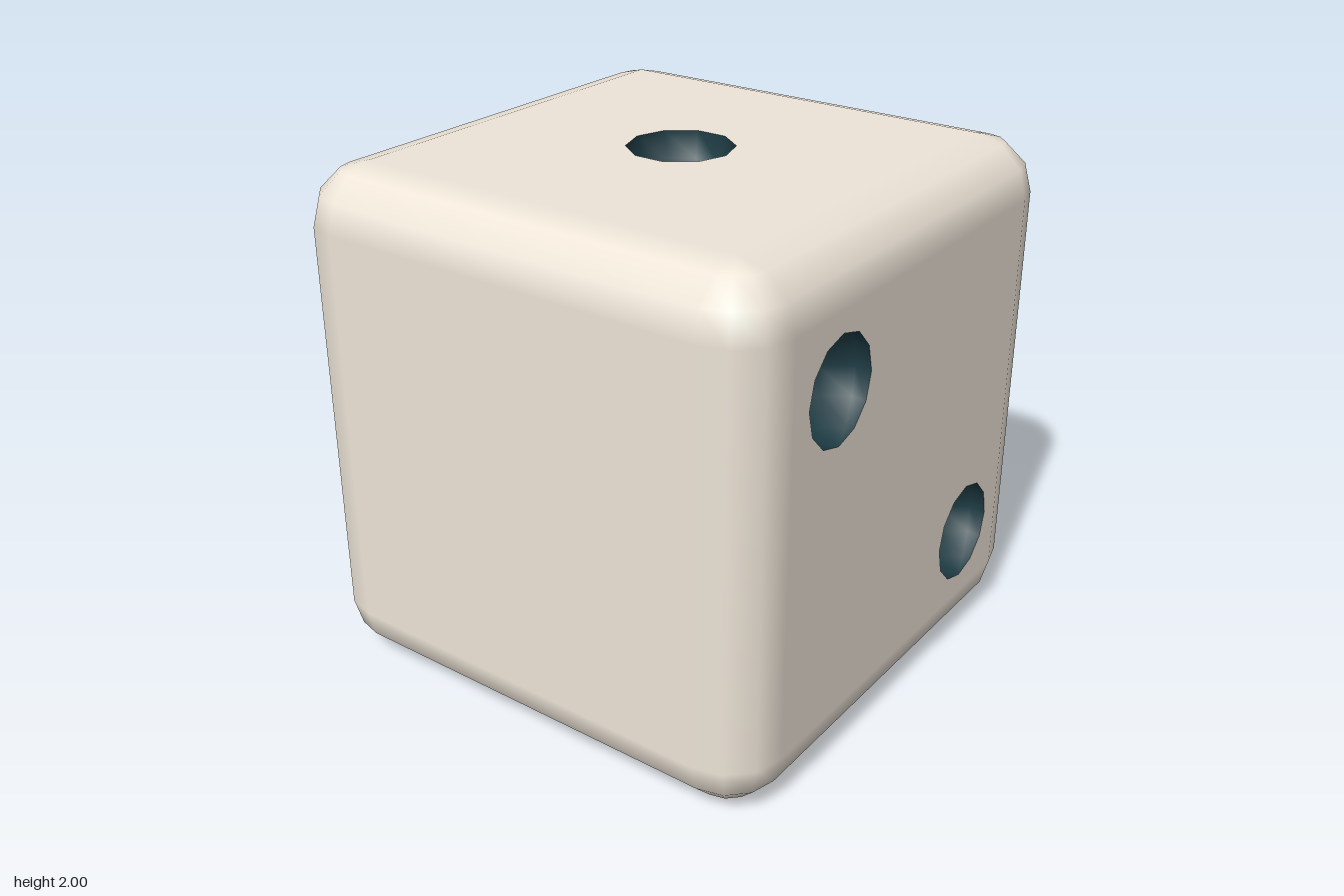
import * as THREE from 'three';
import { mergeGeometries } from 'three/addons/utils/BufferGeometryUtils.js';

const HALF = 1;            // half size of the cube
const R = 0.22;            // edge rounding
const C = HALF - R;        // half size of the flat faces
const PIP = 0.2;           // pip radius
const Q = Math.PI / 2;

// Each face: rotation from the front, its pips, and the pip outline (sides, half width)
const faces = [
  { name: 'front', turn: [0, 0], pips: [[-0.5, 0.5], [0.5, -0.5]], sides: 12, width: PIP * Math.sin(0.4 * Math.PI) },
  { name: 'right', turn: [0, Q], pips: [[-0.5, 0.5], [0, 0], [0.5, -0.5]], sides: 12, width: PIP },
  { name: 'top', turn: [-Q, 0], pips: [[0, 0]], sides: 10, width: PIP },
  { name: 'back', turn: [0, 2 * Q], pips: [] },
  { name: 'left', turn: [0, -Q], pips: [] },
  { name: 'bottom', turn: [Q, 0], pips: [] },
];

// Flat square face with the pip openings cut out
function faceGeometry({ turn, pips, sides, width }) {
  const shape = new THREE.Shape([[-C, -C], [C, -C], [C, C], [-C, C]].map(p => new THREE.Vector2(...p)));
  for (const [px, py] of pips) {
    const rim = [];
    for (let i = 0; i < sides; i++) {
      const a = (i / sides) * 2 * Math.PI;
      rim.push(new THREE.Vector2(px + width * Math.sin(a), py + PIP * Math.cos(a)));
    }
    shape.holes.push(new THREE.Path(rim));
  }
  return new THREE.ShapeGeometry(shape).translate(0, 0, HALF).rotateX(turn[0]).rotateY(turn[1]);
}

// Twelve quarter-round edges
function edgeGeometries() {
  const list = [];
  for (let axis = 0; axis < 3; axis++) {
    for (let k = 0; k < 4; k++) {
      const mid = (k + 0.5) * Q;
      const g = new THREE.CylinderGeometry(R, R, 2 * C, 3, 1, true, k * Q, Q);
      g.translate(C * Math.sign(Math.sin(mid)), 0, C * Math.sign(Math.cos(mid)));
      if (axis === 1) g.rotateZ(Q);
      if (axis === 2) g.rotateX(Q);
      list.push(g);
    }
  }
  return list;
}

// Eight sphere-octant corners
function cornerGeometries() {
  const list = [];
  for (let j = 0; j < 2; j++) {
    for (let k = 0; k < 4; k++) {
      const mid = (k + 0.5) * Q;
      const g = new THREE.SphereGeometry(R, 3, 3, k * Q, Q, j * Q, Q);
      g.translate(-C * Math.sign(Math.cos(mid)), j ? -C : C, C * Math.sign(Math.sin(mid)));
      list.push(g);
    }
  }
  return list;
}

// Hollow half sphere facing inward, its open side toward the named face
function bowlGeometry(face) {
  const step = Math.PI / 5;
  const g = {
    front: () => new THREE.SphereGeometry(PIP, 6, 6, 3 * Q - 3 * step, 6 * step),
    right: () => new THREE.SphereGeometry(PIP, 5, 6, Q, Math.PI),
    top: () => new THREE.SphereGeometry(PIP, 10, 3, Q, 2 * Math.PI, Q, Q),
  }[face]();
  g.scale(-1, 1, 1); // mirroring turns the surface inside out
  const pos = g.attributes.position, nor = g.attributes.normal;
  const v = new THREE.Vector3();
  for (let i = 0; i < pos.count; i++) {
    v.fromBufferAttribute(pos, i);
    if (face === 'front') v.z = Math.min(v.z, 0); // trim flush with the face
    pos.setXYZ(i, v.x, v.y, v.z);
    v.normalize().negate();
    nor.setXYZ(i, v.x, v.y, v.z);
  }
  return g;
}

export function createModel() {
  const model = new THREE.Group();
  model.name = 'die';
  const bodyMaterial = new THREE.MeshStandardMaterial({ color: 0xeee5d8 });
  const pipMaterial = new THREE.MeshStandardMaterial({ color: 0x1e3c44 });

  // Rounded cube
  const body = new THREE.Mesh(
    mergeGeometries([...faces.map(faceGeometry), ...edgeGeometries(), ...cornerGeometries()]),
    bodyMaterial,
  );
  body.name = 'body';
  body.position.y = HALF;
  model.add(body);

  // Sunken pips
  for (const { name, turn, pips } of faces) {
    pips.forEach(([px, py], i) => {
      const pip = new THREE.Mesh(bowlGeometry(name), pipMaterial);
      pip.name = `${name}Pip${i + 1}`;
      pip.position.set(px, py, HALF).applyEuler(new THREE.Euler(turn[0], turn[1], 0));
      pip.position.y += HALF;
      model.add(pip);
    });
  }
  return model;
}
